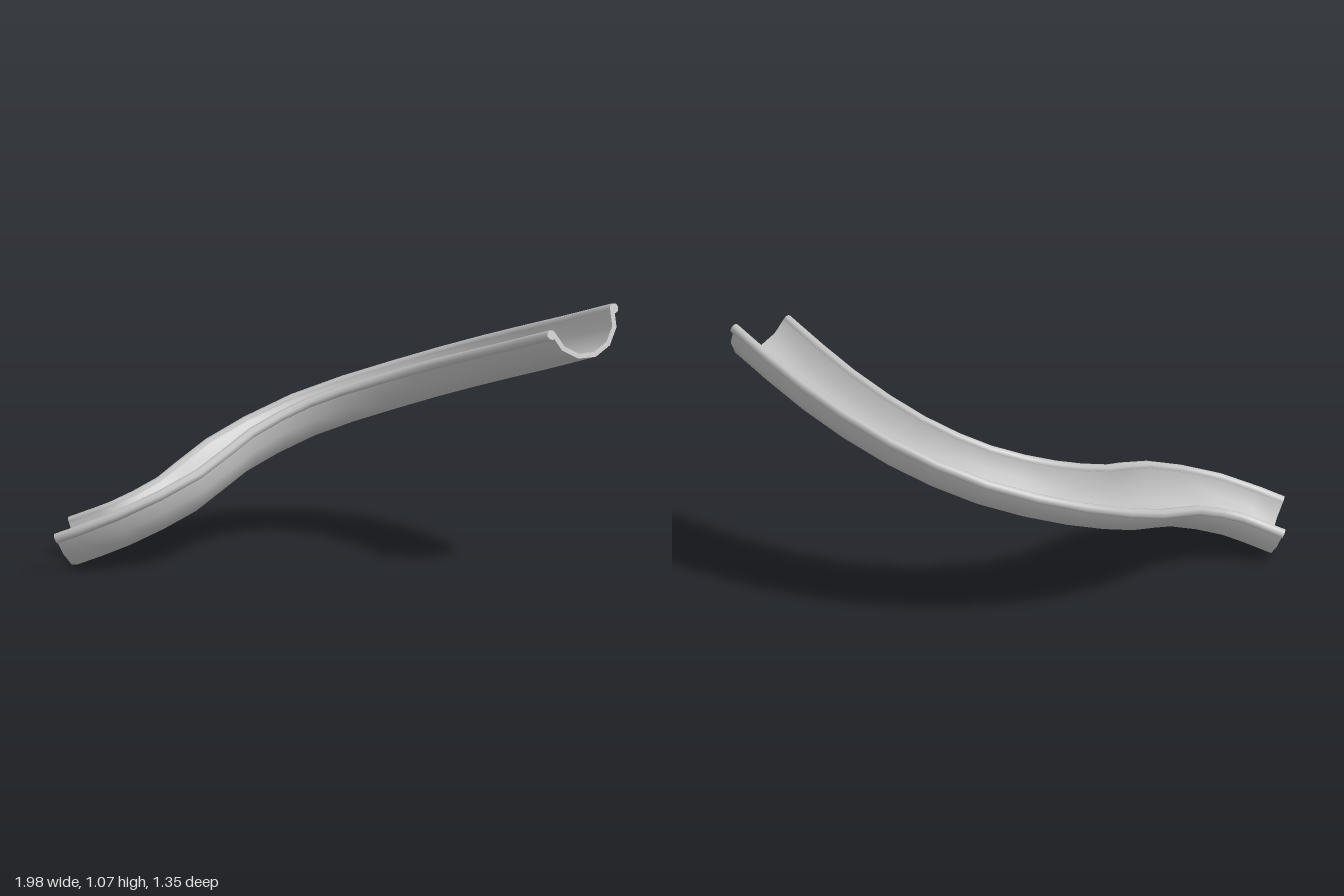
import * as THREE from 'three';
import { toCreasedNormals } from 'three/addons/utils/BufferGeometryUtils.js';

const SEGMENTS = 16;

// Centre line at rim height, from the low exit to the high entry
const path = new THREE.CatmullRomCurve3([
  [-0.885, 0.138, -0.475], [-0.72, 0.222, -0.355], [-0.45, 0.33, -0.34],
  [-0.17, 0.435, -0.468], [0.15, 0.55, -0.49], [0.445, 0.66, -0.35],
  [0.65, 0.775, -0.095], [0.77, 0.90, 0.265], [0.82, 1.02, 0.63],
].map((p) => new THREE.Vector3(...p)));

// Frames carried along the path without twist, level at the low end
function makeFrames() {
  const frames = [];
  const up = new THREE.Vector3(0, 1, 0);
  const steps = SEGMENTS * 8;
  for (let i = 0; i <= steps; i++) {
    const t = path.getTangent(i / steps);
    up.addScaledVector(t, -up.dot(t)).normalize();
    if (i % 8 === 0) {
      const side = new THREE.Vector3().crossVectors(up, t);
      frames.push({ origin: path.getPoint(i / steps), side, up: up.clone() });
    }
  }
  return frames;
}

// Sweeps a closed counter-clockwise profile along the frames and caps the ends
function sweep(profile, frames) {
  const n = profile.length;
  const positions = [];
  const index = [];
  for (const f of frames) {
    for (const p of profile) {
      const v = f.origin.clone().addScaledVector(f.side, p.x).addScaledVector(f.up, p.y);
      positions.push(v.x, v.y, v.z);
    }
  }
  for (let i = 0; i < frames.length - 1; i++) {
    for (let j = 0; j < n; j++) {
      const k = (j + 1) % n;
      const a = i * n + j, b = i * n + k, c = b + n, d = a + n;
      index.push(a, b, c, a, c, d);
    }
  }
  const last = (frames.length - 1) * n;
  for (const [a, b, c] of THREE.ShapeUtils.triangulateShape(profile, [])) {
    index.push(last + a, last + b, last + c, a, c, b);
  }
  const geometry = new THREE.BufferGeometry();
  geometry.setAttribute('position', new THREE.Float32BufferAttribute(positions, 3));
  geometry.setIndex(index);
  return toCreasedNormals(geometry, 0.9);
}

// Points on an elliptical arc
function arc(cx, cy, rx, ry, from, to, count) {
  return Array.from({ length: count + 1 }, (_, i) => {
    const a = from + ((to - from) * i) / count;
    return new THREE.Vector2(cx + rx * Math.cos(a), cy + ry * Math.sin(a));
  });
}

export function createModel() {
  const group = new THREE.Group();
  group.name = 'slide';
  const material = new THREE.MeshStandardMaterial({ color: 0xc0c0c0 });
  material.name = 'light grey';
  const frames = makeFrames();

  const add = (name, profile) => {
    const mesh = new THREE.Mesh(sweep(profile, frames), material);
    mesh.name = name;
    group.add(mesh);
  };

  // Half-pipe trough with wall thickness
  add('trough', [
    ...arc(0, 0, 0.158, 0.149, Math.PI, 2 * Math.PI, 6),
    ...arc(0, 0, 0.138, 0.129, 2 * Math.PI, Math.PI, 6),
  ]);

  // Rounded lips along both rims
  for (const [name, s] of [['leftLip', 1], ['rightLip', -1]]) {
    add(name, arc(s * 0.157, -0.003, 0.02, 0.02, 0, 2 * Math.PI, 8).slice(0, 8));
  }
  return group;
}
